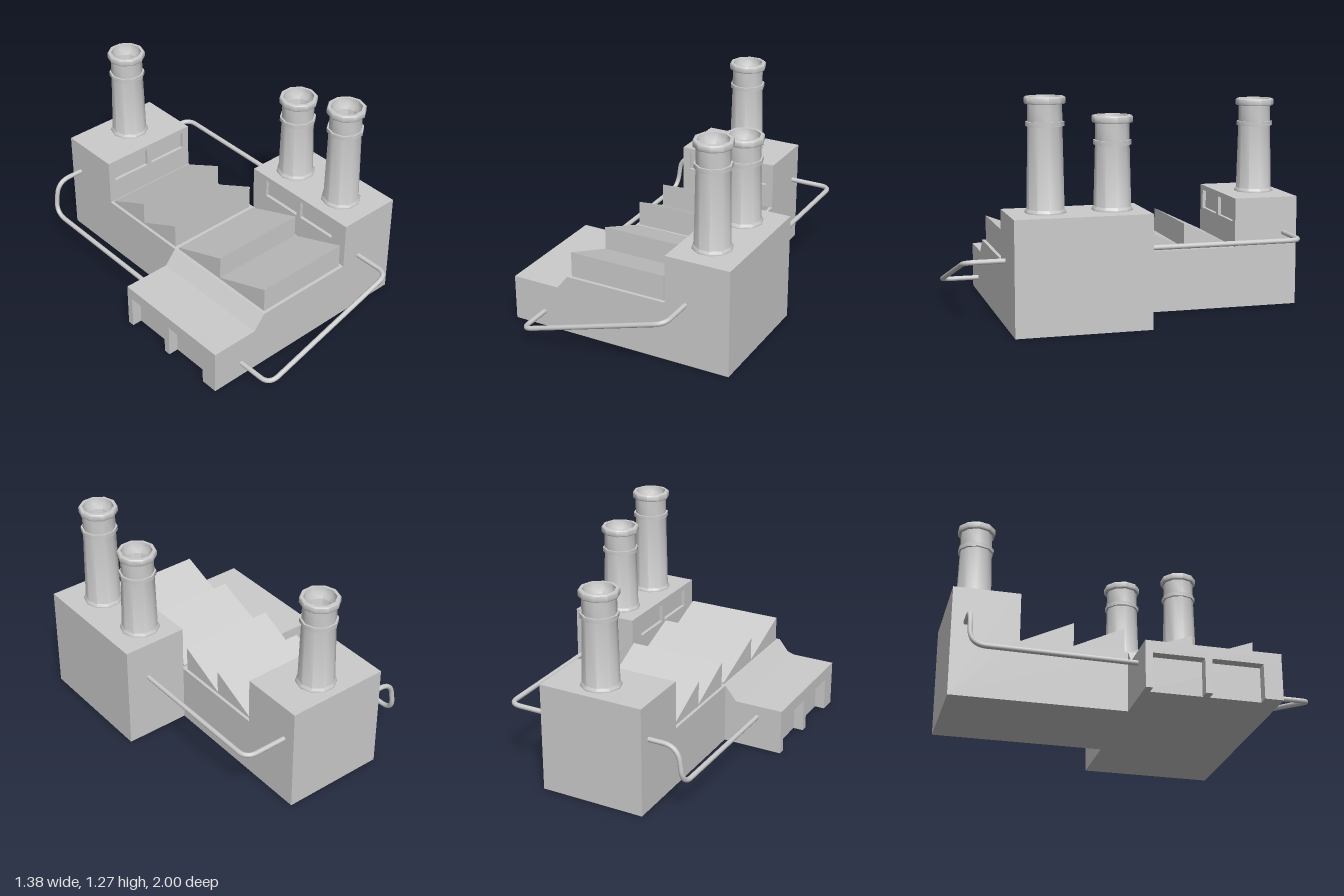
import * as THREE from 'three';
import { toCreasedNormals } from 'three/addons/utils/BufferGeometryUtils.js';

const material = new THREE.MeshStandardMaterial({ color: 0xcccccc });
const V = (x, y, z) => new THREE.Vector3(x, y, z);

function makeShape(points, holes = []) {
  const toPoints = (list) => list.map(([a, b]) => new THREE.Vector2(a, b));
  const shape = new THREE.Shape(toPoints(points));
  for (const hole of holes) shape.holes.push(new THREE.Path(toPoints(hole)));
  return shape;
}

const rect = (a0, a1, b0, b1) => [[a0, b0], [a1, b0], [a1, b1], [a0, b1]];

// Outline in (x, y), extruded from z0 to z1
function extrudeZ(shape, z0, z1) {
  return new THREE.ExtrudeGeometry(shape, { depth: z1 - z0, bevelEnabled: false }).translate(0, 0, z0);
}

// Outline in (z, y), extruded from x0 to x1
function extrudeX(shape, x0, x1) {
  return new THREE.ExtrudeGeometry(shape, { depth: x1 - x0, bevelEnabled: false })
    .rotateY(-Math.PI / 2).translate(x1, 0, 0);
}

// Ten-sided hollow chimney with a flared foot, a band and a thick rim
function chimneyGeometry(top) {
  const profile = [
    [0.115, 0.638], [0.115, 0.648], [0.104, 0.662], [0.095, top - 0.16],
    [0.106, top - 0.16], [0.106, top - 0.135], [0.095, top - 0.135], [0.094, top - 0.04],
    [0.109, top - 0.04], [0.112, top - 0.034], [0.112, top - 0.006], [0.107, top],
    [0.09, top], [0.084, top - 0.035], [0.068, top - 0.06], [0.068, 0.638],
  ].map(([r, y]) => new THREE.Vector2(r, y));
  return toCreasedNormals(new THREE.LatheGeometry(profile, 10, Math.PI / 10), 0.7);
}

// Round pipe along straight runs with rounded corners
function pipeGeometry(points, bend) {
  const path = new THREE.CurvePath();
  let from = points[0];
  for (let i = 1; i < points.length - 1; i++) {
    const corner = points[i];
    const enter = corner.clone().add(points[i - 1].clone().sub(corner).setLength(bend));
    const leave = corner.clone().add(points[i + 1].clone().sub(corner).setLength(bend));
    path.add(new THREE.LineCurve3(from, enter));
    path.add(new THREE.QuadraticBezierCurve3(enter, corner, leave));
    from = leave;
  }
  path.add(new THREE.LineCurve3(from, points[points.length - 1]));
  return new THREE.TubeGeometry(path, 90, 0.0145, 10);
}

export function createModel() {
  const model = new THREE.Group();
  const add = (name, geometry, x = 0, y = 0, z = 0) => {
    const mesh = new THREE.Mesh(geometry, material);
    mesh.name = name;
    mesh.position.set(x, y, z);
    model.add(mesh);
  };

  // Front building: low wing, sloped step, hall floor and tall block
  add('frontBuilding', extrudeZ(makeShape([
    [-0.63, 0], [0.685, 0], [0.685, 0.64], [0.315, 0.64], [0.315, 0.355],
    [-0.33, 0.355], [-0.4, 0.27], [-0.63, 0.27],
  ]), -0.01, 0.755));

  // Outer wall of the low wing with two loading bays
  add('loadingBayWall', extrudeX(makeShape([
    [-0.01, 0], [0.03, 0], [0.03, 0.2], [0.32, 0.2], [0.32, 0], [0.36, 0],
    [0.36, 0.2], [0.65, 0.2], [0.65, 0], [0.755, 0], [0.755, 0.27], [-0.01, 0.27],
  ]), -0.69, -0.63));

  // Inner wall of the tall block with recessed windows
  add('tallBlockWindowWall', extrudeX(makeShape(rect(-0.01, 0.755, 0.35, 0.64), [
    rect(0.1, 0.36, 0.5, 0.61), rect(0.39, 0.65, 0.5, 0.61),
  ]), 0.295, 0.315));

  // Rear hall with its tower, and the tower's window wall
  add('rearBuilding', extrudeX(makeShape([
    [-1, 0], [0, 0], [0, 0.355], [-0.64, 0.355], [-0.64, 0.64], [-1, 0.64],
  ]), -0.33, 0.295));
  add('towerWindowWall', extrudeZ(makeShape(rect(-0.33, 0.295, 0.35, 0.64), [
    rect(-0.285, -0.035, 0.5, 0.61), rect(-0.005, 0.25, 0.5, 0.61),
  ]), -0.64, -0.62));

  // Sawtooth roofs: upright faces to the front, slopes falling to the rear
  const teeth = [[0.735, 0.37], [0.37, 0.005], [-0.025, -0.315], [-0.315, -0.605]];
  for (const [front, back] of teeth) {
    add('sawtoothRoof', extrudeX(makeShape([
      [back, 0.35], [front, 0.35], [front, 0.505], [back, 0.365],
    ]), -0.312, 0.277));
  }

  // Chimneys
  for (const [x, z, top] of [[0.005, -0.84, 1.195], [0.472, 0.165, 1.16], [0.472, 0.54, 1.27]]) {
    add('chimney', chimneyGeometry(top), x, 0, z);
  }

  // Pipes
  add('frontPipe', pipeGeometry([
    V(-0.495, 0.092, 0.74), V(-0.495, 0.092, 0.982), V(0.418, 0.372, 0.982), V(0.418, 0.372, 0.74),
  ], 0.07));
  add('leftPipe', pipeGeometry([
    V(0.555, 0.43, -0.03), V(0.555, 0.43, -0.92), V(0.28, 0.43, -0.92),
  ], 0.07));
  add('rightPipe', pipeGeometry([
    V(-0.31, 0.43, -0.92), V(-0.505, 0.43, -0.92), V(-0.535, 0.21, -0.92), V(-0.535, 0.2, 0.01),
  ], 0.09));

  return model;
}
